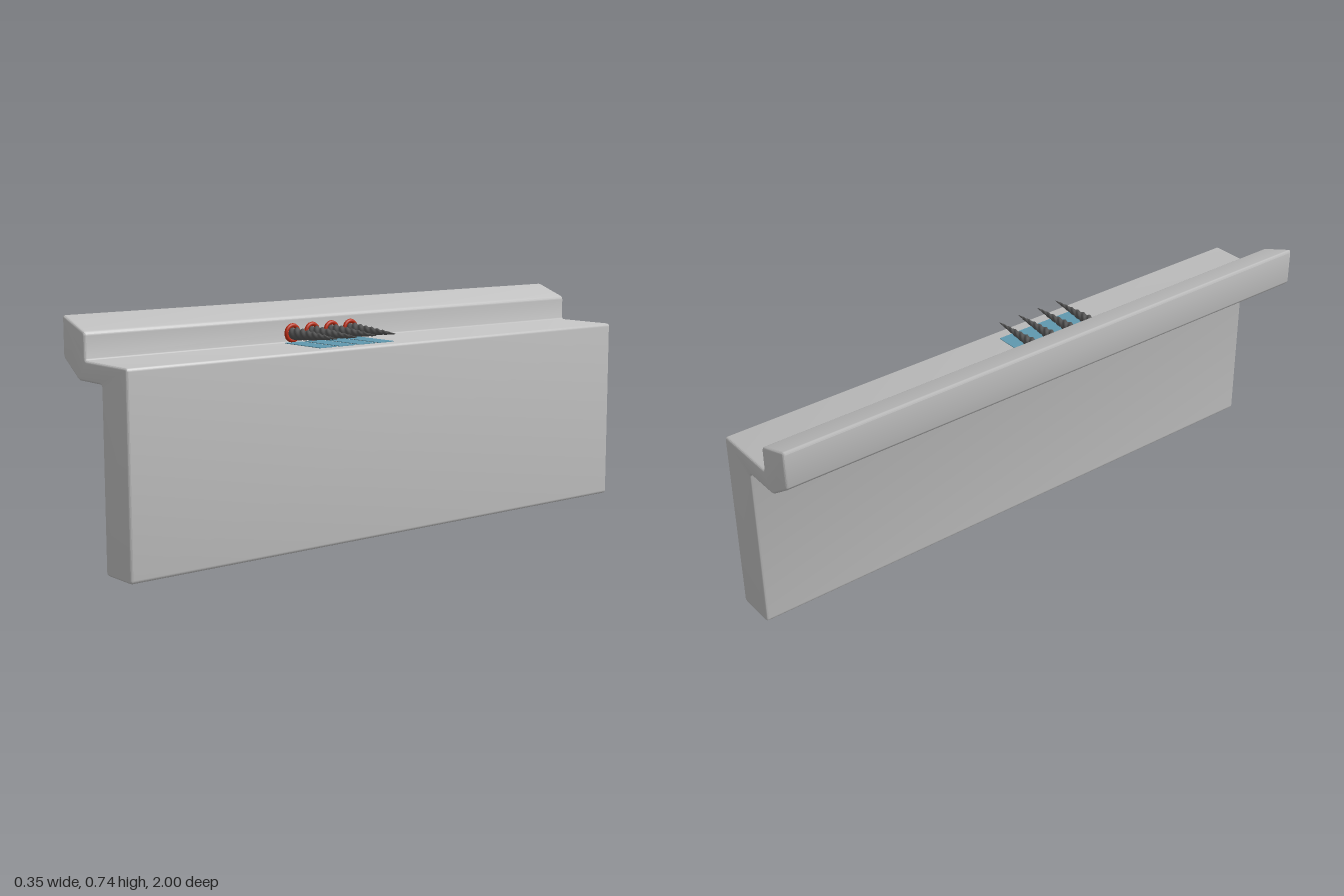
import * as THREE from 'three';
import { toCreasedNormals } from 'three/addons/utils/BufferGeometryUtils.js';

const material = (name, color, side = THREE.FrontSide) => {
  const m = new THREE.MeshStandardMaterial({ color, side });
  m.name = name;
  return m;
};

// Closed outline whose corners are softened by a small radius
function roundedShape(points, radius) {
  const pts = points.map(([x, y]) => new THREE.Vector2(x, y));
  const shape = new THREE.Shape();
  pts.forEach((p, i) => {
    const prev = pts[(i + pts.length - 1) % pts.length];
    const next = pts[(i + 1) % pts.length];
    const a = p.clone().add(prev.clone().sub(p).setLength(radius));
    const b = p.clone().add(next.clone().sub(p).setLength(radius));
    if (i === 0) shape.moveTo(a.x, a.y);
    else shape.lineTo(a.x, a.y);
    shape.quadraticCurveTo(p.x, p.y, b.x, b.y);
  });
  shape.closePath();
  return shape;
}

// Three-lobed twisted spike running along +x from the origin
function spikeGeometry(length, radius) {
  const rings = 90, sides = 24, lobes = 3, turns = 2.7;
  const pos = [], idx = [];
  for (let i = 0; i <= rings; i++) {
    const t = i / rings;
    const swell = 0.8 + 0.2 * Math.min(1, t / 0.12);
    const r = radius * swell * Math.pow(1 - t, 0.85) + 0.0008;
    for (let j = 0; j < sides; j++) {
      const a = (j / sides) * Math.PI * 2;
      const lobe = 0.86 + 0.14 * Math.cos(lobes * (a - t * turns * Math.PI * 2));
      pos.push(t * length, Math.cos(a) * r * lobe, Math.sin(a) * r * lobe);
      if (i < rings) {
        const k = (j + 1) % sides;
        const p = i * sides + j, q = i * sides + k;
        idx.push(p, q, p + sides, q, q + sides, p + sides);
      }
    }
  }
  // tip cap
  const tip = pos.length / 3;
  pos.push(length + 0.001, 0, 0);
  for (let j = 0; j < sides; j++) {
    idx.push(rings * sides + j, rings * sides + ((j + 1) % sides), tip);
  }
  const g = new THREE.BufferGeometry();
  g.setAttribute('position', new THREE.Float32BufferAttribute(pos, 3));
  g.setIndex(idx);
  g.computeVertexNormals();
  return g;
}

export function createModel() {
  const model = new THREE.Group();
  model.name = 'spikedLedge';
  const stone = material('stoneGrey', 0xc0c0c0);
  const iron = material('darkIron', 0x555555, THREE.DoubleSide);
  const red = material('redCollar', 0xb82a10);
  const blue = material('bluePlate', 0x5f98ae);

  // Wall with overhanging ledge and sloped parapet, one bevelled extrusion
  const bevel = 0.007;
  const profile = [
    [0.175, 0], [0.175, 0.617], [-0.053, 0.617], [-0.053, 0.699], [-0.176, 0.743],
    [-0.176, 0.617], [-0.09, 0.556], [0.038, 0.556], [0.038, 0],
  ];
  const wallGeometry = new THREE.ExtrudeGeometry(roundedShape(profile, 0.011), {
    depth: 2 - 2 * bevel, bevelEnabled: true, bevelThickness: bevel,
    bevelSize: bevel, bevelOffset: -bevel, bevelSegments: 3, curveSegments: 4,
  });
  wallGeometry.translate(0, 0, -1 + bevel);
  const wall = new THREE.Mesh(toCreasedNormals(wallGeometry, 0.6), stone);
  wall.name = 'wall';
  model.add(wall);

  // Row of spikes, each with a collar and a plate on the ledge below
  const spike = spikeGeometry(0.229, 0.023);
  const collar = new THREE.TorusGeometry(0.024, 0.007, 12, 32).rotateY(Math.PI / 2);
  const plate = new THREE.BoxGeometry(0.182, 0.004, 0.065);
  for (let i = 0; i < 4; i++) {
    const unit = new THREE.Group();
    unit.name = 'spikeUnit' + (i + 1);
    unit.position.z = 0.014 + i * 0.079;
    const add = (name, geometry, mat, x, y) => {
      const mesh = new THREE.Mesh(geometry, mat);
      mesh.name = name;
      mesh.position.set(x, y, 0);
      unit.add(mesh);
    };
    add('spike', spike, iron, -0.055, 0.647);
    add('collar', collar, red, -0.052, 0.648);
    add('plate', plate, blue, 0.039, 0.617);
    model.add(unit);
  }
  return model;
}
